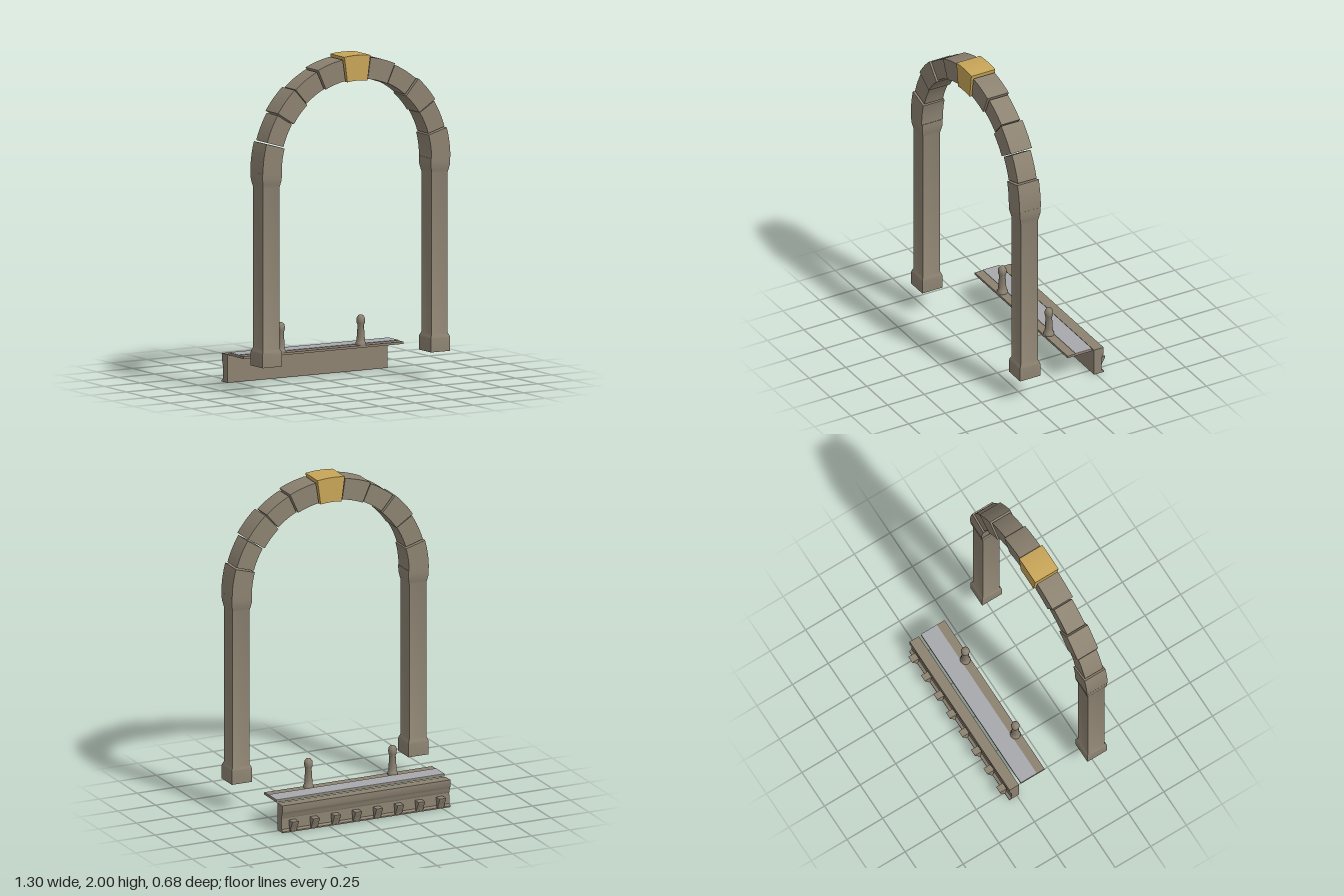
import * as THREE from 'three';
import { toCreasedNormals } from 'three/addons/utils/BufferGeometryUtils.js';

const ARCH_Z = 0.254; // centre plane of the arch
const SPRING_Y = 1.335; // height where the curve starts

export function createModel() {
  const model = new THREE.Group();
  const material = (name, color) => {
    const m = new THREE.MeshStandardMaterial({ color });
    m.name = name;
    return m;
  };
  const stone = material('stone', 0x8c8271);
  const gold = material('gold stone', 0xc8a558);
  const slate = material('grey slate', 0xa8a9ad);

  function add(name, geometry, mat, x = 0, y = 0, z = 0) {
    const mesh = new THREE.Mesh(geometry, mat);
    mesh.name = name;
    mesh.position.set(x, y, z);
    model.add(mesh);
    return mesh;
  }
  const points = (list) => list.map(([a, b]) => new THREE.Vector2(a, b));

  // Square columns: half-width against height, turned with four sides
  const columnProfile = points([
    [0, 0.17], [0.0665, 0.17], [0.0665, 0.25], [0.064, 0.262], [0.056, 0.278],
    [0.056, 1.245], [0.06, 1.262], [0.0655, 1.29], [0.0665, 1.315],
    [0.0665, SPRING_Y], [0, SPRING_Y],
  ].map(([r, y]) => [r * Math.SQRT2, y]));
  const columnGeometry = toCreasedNormals(
    new THREE.LatheGeometry(columnProfile, 4, Math.PI / 4).scale(1, 1, 1.045), 0.5);
  for (const side of [-1, 1]) {
    add(side > 0 ? 'leftColumn' : 'rightColumn', columnGeometry, stone, side * 0.584, 0, ARCH_Z);
  }

  // Wedge-shaped arch stone between two radii
  function wedge(from, to, inner, outer, depth) {
    const shape = new THREE.Shape();
    shape.absarc(0, 0, outer, from, to, false);
    shape.absarc(0, 0, inner, to, from, true);
    const geometry = new THREE.ExtrudeGeometry(shape, { depth, bevelEnabled: false, curveSegments: 8 });
    return toCreasedNormals(geometry.translate(0, 0, -depth / 2), 0.5);
  }

  // Ring of eleven stones, alternately deep and shallow, keystone in the middle
  const count = 11, step = Math.PI / count, gap = 0.007;
  for (let i = 0; i < count; i++) {
    const from = i * step + (i === 0 ? 0 : gap);
    const to = (i + 1) * step - (i === count - 1 ? 0 : gap);
    if (i === 5) {
      add('keystone', wedge(from, to, 0.512, 0.665, 0.163), gold, 0, SPRING_Y, ARCH_Z);
    } else {
      const fromSpring = Math.min(i, count - 1 - i);
      const deep = fromSpring % 2 === 0;
      const geometry = deep ? wedge(from, to, 0.52, 0.65, 0.145) : wedge(from, to, 0.525, 0.642, 0.127);
      add('archStone', geometry, stone, 0, SPRING_Y, ARCH_Z);
    }
  }

  // Profile of (distance behind centre, height) extruded along x
  function molding(list, width) {
    const geometry = new THREE.ExtrudeGeometry(new THREE.Shape(points(list)), { depth: width, bevelEnabled: false });
    return toCreasedNormals(geometry.translate(0, 0, -width / 2).rotateY(Math.PI / 2), 0.5);
  }

  // Cornice with a hollow moulded back
  add('cornice', molding([
    [0.237, 0], [0.304, 0], [0.304, 0.008], [0.288, 0.018], [0.286, 0.085],
    [0.29, 0.092], [0.292, 0.108], [0.298, 0.122], [0.302, 0.13], [0.302, 0.17], [0.237, 0.17],
  ], 1.11), stone);

  // Row of small brackets under the cornice
  const bracketGeometry = molding([
    [0.3, 0.004], [0.312, 0.008], [0.318, 0.03], [0.338, 0.062], [0.34, 0.073], [0.292, 0.073], [0.297, 0.035],
  ], 0.043);
  for (let i = 0; i < 8; i++) {
    add('bracket', bracketGeometry, stone, (i - 3.5) * 0.139);
  }

  // Ledge with a slate strip along its rear half
  add('ledge', new THREE.BoxGeometry(1.11, 0.014, 0.167), stone, 0, 0.175, -0.1395);
  add('slateStrip', new THREE.BoxGeometry(1.11, 0.003, 0.112), slate, 0, 0.1835, -0.167);

  // Two finials standing on the ledge
  const finialProfile = points([
    [0, 0.182], [0.031, 0.182], [0.031, 0.195], [0.025, 0.203], [0.024, 0.225], [0.019, 0.302],
    [0.024, 0.313], [0.026, 0.332], [0.023, 0.348], [0.014, 0.36], [0, 0.364],
  ]);
  const finialGeometry = toCreasedNormals(new THREE.LatheGeometry(finialProfile, 20), 0.8);
  for (const side of [-1, 1]) {
    add(side > 0 ? 'leftFinial' : 'rightFinial', finialGeometry, stone, side * 0.278, 0, -0.086);
  }

  return model;
}
